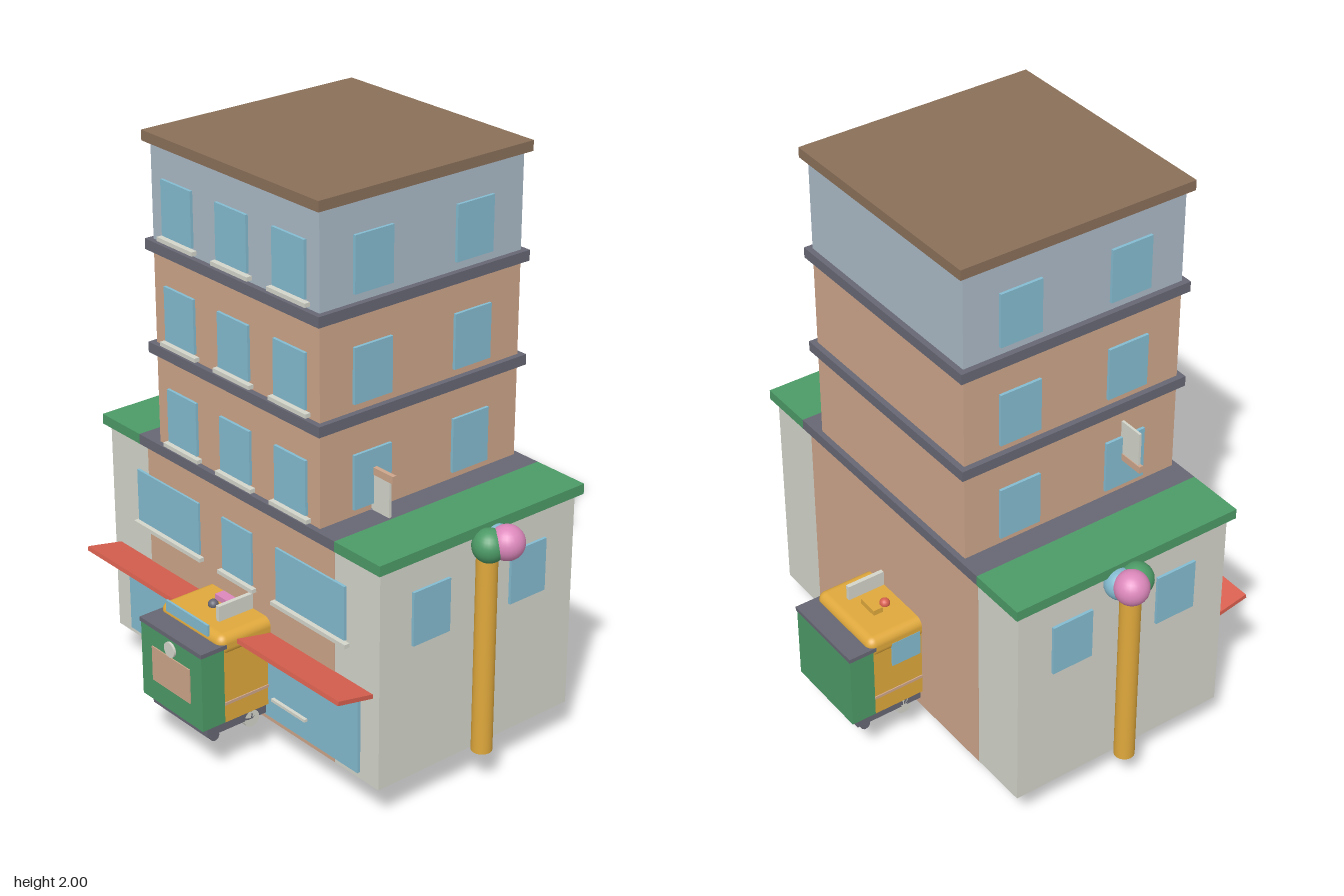
import * as THREE from 'three';
import { RoundedBoxGeometry } from 'three/addons/geometries/RoundedBoxGeometry.js';

const paint = (name, color) => {
  const m = new THREE.MeshStandardMaterial({ color });
  m.name = name;
  return m;
};

export function createModel() {
  const model = new THREE.Group();
  model.name = 'cornerBuilding';
  const tan = paint('tan', 0xcda58a), slate = paint('slateBlue', 0xaab9c6);
  const stone = paint('stone', 0xd3d4ca), dark = paint('darkGrey', 0x666773);
  const brown = paint('brown', 0x8a6f59), green = paint('green', 0x4c9a66);
  const red = paint('red', 0xd8604f), yellow = paint('yellow', 0xdfa83c);
  const glass = paint('glassBlue', 0x84bbd0), pink = paint('pink', 0xdc88bb);

  const add = (name, geometry, material, x = 0, y = 0, z = 0, parent = model) => {
    const mesh = new THREE.Mesh(geometry, material);
    mesh.name = name;
    mesh.position.set(x, y, z);
    parent.add(mesh);
    return mesh;
  };
  // box given by its limits on each axis
  const box = (name, mat, x0, x1, y0, y1, z0, z1, parent = model) =>
    add(name, new THREE.BoxGeometry(x1 - x0, y1 - y0, z1 - z0), mat,
      (x0 + x1) / 2, (y0 + y1) / 2, (z0 + z1) / 2, parent);
  const group = (name) => {
    const g = new THREE.Group();
    g.name = name;
    model.add(g);
    return g;
  };

  // Wide base with a tan middle bay and a flat roof slab
  const base = group('base');
  box('baseWalls', stone, -0.69, 0.69, 0.125, 0.9, -0.41, 0.41, base);
  box('middleBay', tan, -0.48, 0.48, 0.127, 0.9, -0.412, 0.412, base);
  box('baseUnderside', brown, -0.46, 0.46, 0.122, 0.127, -0.3, 0.3, base);
  box('middleRoofSlab', dark, -0.5, 0.5, 0.895, 0.931, -0.43, 0.43, base);
  for (const s of [-1, 1]) {
    const a = s * 0.5, b = s * 0.71;
    box('greenRoofSlab', green, Math.min(a, b), Math.max(a, b), 0.895, 0.931, -0.43, 0.43, base);
  }

  // Tower storeys and the ledges between them
  const tower = group('tower');
  [[0.93, 1.25, tan], [1.285, 1.605, tan], [1.64, 1.965, slate]].forEach(([y0, y1, mat]) =>
    box('storey', mat, -0.41, 0.41, y0, y1, -0.41, 0.41, tower));
  [1.25, 1.605].forEach((y) => box('ledge', dark, -0.43, 0.43, y, y + 0.036, -0.43, 0.43, tower));
  box('roof', brown, -0.43, 0.43, 1.965, 2, -0.43, 0.43, tower);

  // Windows: front ones have a sill, side ones do not
  const windows = group('windows');
  const frontWindow = (x0, x1, y0, y1) => {
    box('frontWindow', glass, x0, x1, y0, y1, 0.405, 0.42, windows);
    box('windowSill', stone, x0 - 0.015, x1 + 0.015, y0 - 0.02, y0 - 0.006, 0.405, 0.43, windows);
  };
  for (const y of [0.955, 1.312, 1.67]) {
    for (const x of [-0.275, 0, 0.275]) frontWindow(x - 0.076, x + 0.076, y, y + 0.187);
  }
  frontWindow(-0.535, -0.2, 0.597, 0.785);
  frontWindow(-0.076, 0.076, 0.597, 0.785);
  frontWindow(0.2, 0.535, 0.597, 0.785);
  for (const s of [-1, 1]) {
    for (const z of [-0.205, 0.205]) {
      for (const [y, wall] of [[0.597, 0.69], [0.955, 0.41], [1.312, 0.41], [1.67, 0.41]]) {
        add('sideWindow', new THREE.BoxGeometry(0.02, 0.187, 0.152), glass, s * wall, y + 0.0935, z, windows);
      }
    }
  }

  // Glazed shop front with door bars, under a tilted awning
  const shop = group('shopFront');
  for (const s of [-1, 1]) {
    add('shopGlass', new THREE.BoxGeometry(0.595, 0.28, 0.02), glass, s * 0.305, 0.29, 0.412, shop);
    add('doorBar', new THREE.BoxGeometry(0.17, 0.01, 0.012), stone, s * 0.275, 0.23, 0.43, shop);
  }
  const awning = add('awning', new THREE.BoxGeometry(1.32, 0.015, 0.15), red, 0, 0.465, 0.475, shop);
  awning.rotation.x = -0.2;

  // Hanging signs on the tower sides
  const signs = group('hangingSigns');
  box('signBar', tan, -0.51, -0.41, 1.055, 1.08, 0.19, 0.205, signs);
  box('signBoard', stone, -0.5, -0.41, 1.08, 1.2, 0.193, 0.202, signs);
  box('signBar', tan, 0.41, 0.51, 1.055, 1.08, 0.19, 0.205, signs);
  box('signBoard', stone, 0.41, 0.492, 0.93, 1.055, 0.193, 0.202, signs);
  add('roofVent', new THREE.CylinderGeometry(0.02, 0.06, 0.03, 12), dark, 0.37, 0.945, 0.17, signs);

  // Posts carrying balloon clusters
  for (const s of [-1, 1]) {
    const post = group(s < 0 ? 'rightPost' : 'leftPost');
    add('post', new THREE.CylinderGeometry(0.035, 0.035, 0.74, 24), yellow, s * 0.722, 0.495, 0, post);
    [[pink, 0.77, 0.878, -0.037, 0.058], [green, 0.738, 0.87, 0.008, 0.056],
      [glass, 0.722, 0.865, -0.045, 0.052], [red, 0.722, 0.855, -0.005, 0.045]]
      .forEach(([mat, x, y, z, r]) =>
        add('balloon', new THREE.SphereGeometry(r, 24, 16), mat, s * x, y, z, post));
  }

  // Tram running through the building, one end at the front, one at the back
  const tram = group('tram');
  box('tramBody', yellow, -0.158, 0.158, 0.195, 0.48, -0.6, 0.6, tram);
  add('tramRoof', new RoundedBoxGeometry(0.326, 0.075, 1.23, 4, 0.03), yellow, 0, 0.473, 0, tram);
  box('roofRail', stone, 0.058, 0.073, 0.5, 0.565, -0.55, 0.55, tram);
  for (const s of [-1, 1]) {
    const zBox = (name, mat, x, y0, y1, za, zb) =>
      add(name, new THREE.BoxGeometry(x * 2, y1 - y0, zb - za), mat, 0, (y0 + y1) / 2, s * (za + zb) / 2, tram);
    zBox('tramEnd', green, 0.16, 0.197, 0.468, 0.6, 0.69);
    zBox('endCanopy', dark, 0.163, 0.466, 0.481, 0.59, 0.693);
    zBox('chassis', dark, 0.145, 0.157, 0.197, 0.41, 0.662);
    zBox('sideTrim', tan, 0.162, 0.26, 0.27, 0.41, 0.6);
    for (const x of [-0.13, 0.13]) {
      const wheel = add('wheel', new THREE.CylinderGeometry(0.03, 0.03, 0.03, 20), stone, x, 0.157, s * 0.48, tram);
      const caster = add('caster', new THREE.CylinderGeometry(0.018, 0.018, 0.025, 16), dark, x, 0.15, s * 0.63, tram);
      wheel.rotation.z = caster.rotation.z = Math.PI / 2;
    }
  }
  for (const x of [-0.16, 0.16]) {
    add('tramWindow', new THREE.BoxGeometry(0.008, 0.095, 0.11), glass, x, 0.42, -0.475, tram);
  }
  box('frontPanel', tan, -0.1, 0.1, 0.275, 0.4, 0.688, 0.694, tram);
  const lamp = add('headLamp', new THREE.CylinderGeometry(0.027, 0.027, 0.012, 24), stone, 0, 0.43, 0.692, tram);
  lamp.rotation.x = Math.PI / 2;
  box('destinationPlate', glass, -0.11, 0.11, 0.5, 0.54, 0.617, 0.625, tram);
  box('pinkRoofBox', pink, -0.055, 0.022, 0.5, 0.53, 0.432, 0.468, tram);
  box('yellowRoofBox', yellow, -0.055, 0.022, 0.5, 0.53, -0.527, -0.492, tram);
  add('roofKnob', new THREE.SphereGeometry(0.018, 16, 12), dark, -0.025, 0.515, 0.498, tram);
  add('roofKnob', new THREE.SphereGeometry(0.018, 16, 12), red, -0.025, 0.515, -0.465, tram);

  // Lumpy cloud under the base
  const cloud = group('cloud');
  [[-0.31, 0.085, 0.03, 0.1, 0.06, 0.11], [-0.17, 0.075, 0.07, 0.14, 0.055, 0.12],
    [-0.1, 0.08, -0.05, 0.12, 0.055, 0.11], [0.02, 0.07, 0.02, 0.14, 0.07, 0.16],
    [0.12, 0.08, -0.06, 0.11, 0.06, 0.1], [0.19, 0.1, 0.04, 0.1, 0.05, 0.1]]
    .forEach(([x, y, z, a, b, c]) =>
      add('cloudLump', new THREE.SphereGeometry(1, 24, 16), stone, x, y, z, cloud).scale.set(a, b, c));

  return model;
}
